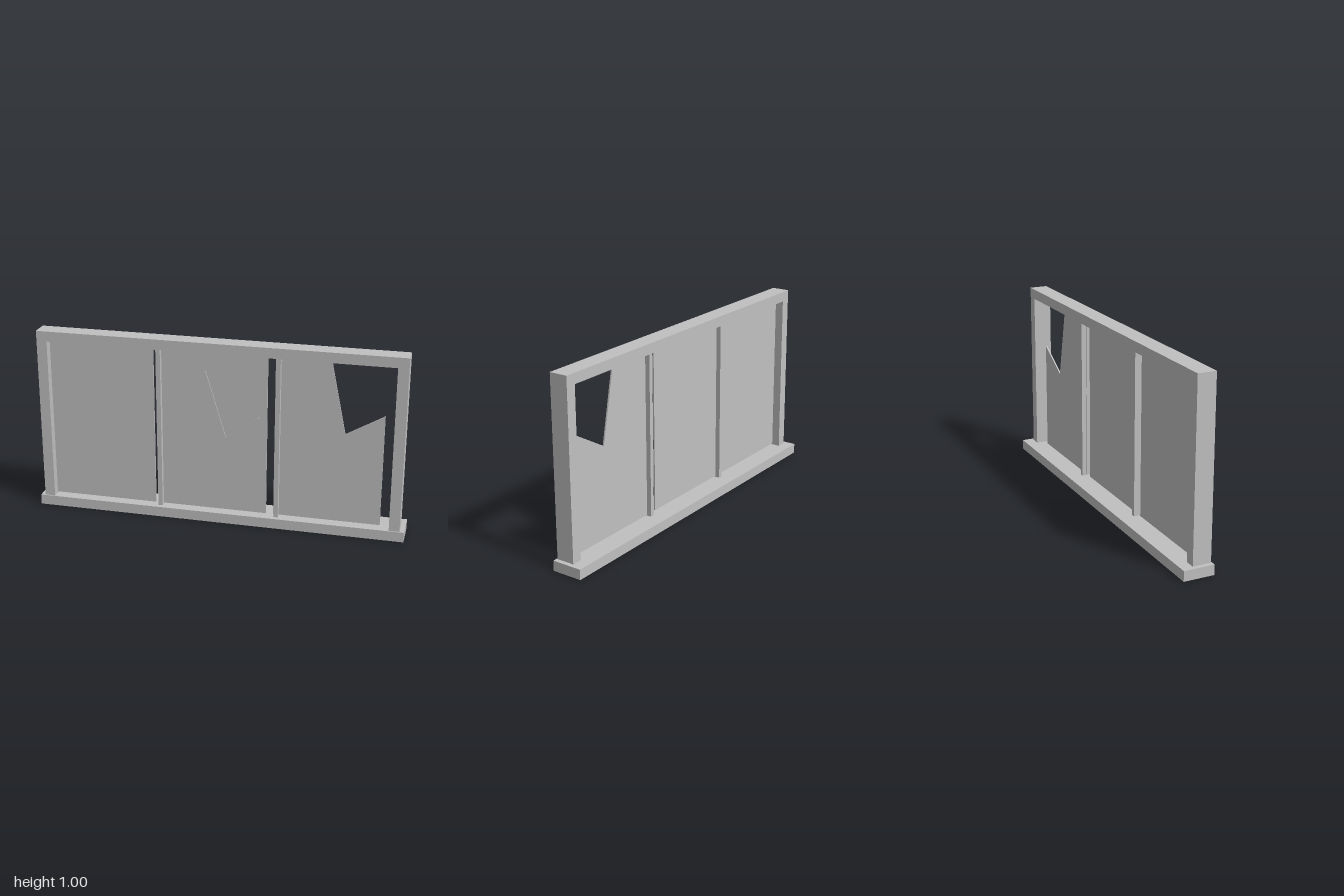
import * as THREE from 'three';

const SILL_TOP = 0.055, PANE_Z = 0.028, PANE_DEPTH = 0.008;

export function createModel() {
  const group = new THREE.Group();
  group.name = 'brokenWindow';
  const grey = new THREE.MeshStandardMaterial({ color: 0xc0c0c0 });
  grey.name = 'plain grey';

  const add = (name, geometry, x = 0, y = 0, z = 0) => {
    const mesh = new THREE.Mesh(geometry, grey);
    mesh.name = name;
    mesh.position.set(x, y, z);
    group.add(mesh);
    return mesh;
  };
  // Flat outline in x and y, given thickness along z from zBack
  const slab = (name, points, depth, zBack) => {
    const shape = new THREE.Shape(points.map(([x, y]) => new THREE.Vector2(x, y)));
    return add(name, new THREE.ExtrudeGeometry(shape, { depth, bevelEnabled: false }), 0, 0, zBack);
  };

  // Sill
  add('sill', new THREE.BoxGeometry(2, SILL_TOP, 0.166), 0, SILL_TOP / 2, 0);

  // Frame: two posts and the top rail
  slab('frame', [
    [-0.976, SILL_TOP], [-0.92, SILL_TOP], [-0.92, 0.945], [0.92, 0.945],
    [0.92, SILL_TOP], [0.976, SILL_TOP], [0.976, 1], [-0.976, 1],
  ], 0.099, -0.022);

  // Dividing bars
  for (const side of [-1, 1]) {
    add(side < 0 ? 'rightBar' : 'leftBar',
      new THREE.BoxGeometry(0.024, 0.89, 0.06), side * 0.318, 0.5, PANE_Z);
  }

  // Glass: two whole panes and one with a broken corner
  const bottom = 0.06, top = 0.942, zBack = PANE_Z - PANE_DEPTH / 2;
  for (const [name, x] of [['rightPane', -0.92], ['middlePane', -0.31]]) {
    slab(name, [[x, bottom], [x + 0.57, bottom], [x + 0.57, top], [x, top]], PANE_DEPTH, zBack);
  }
  slab('brokenPane', [
    [0.3, bottom], [0.868, bottom], [0.868, 0.668], [0.668, 0.552], [0.587, top], [0.3, top],
  ], PANE_DEPTH, zBack);

  // Cracks meeting at one point on the middle pane
  const [cx, cy] = [0.038, 0.47];
  for (const [x, y] of [[-0.072, 0.834], [0.216, 0.602], [-0.133, 0.188]]) {
    const length = Math.hypot(x - cx, y - cy);
    const crack = add('crack', new THREE.BoxGeometry(length, 0.009, 0.006),
      (x + cx) / 2, (y + cy) / 2, PANE_Z + PANE_DEPTH / 2 + 0.003);
    crack.rotation.z = Math.atan2(y - cy, x - cx);
  }
  return group;
}
